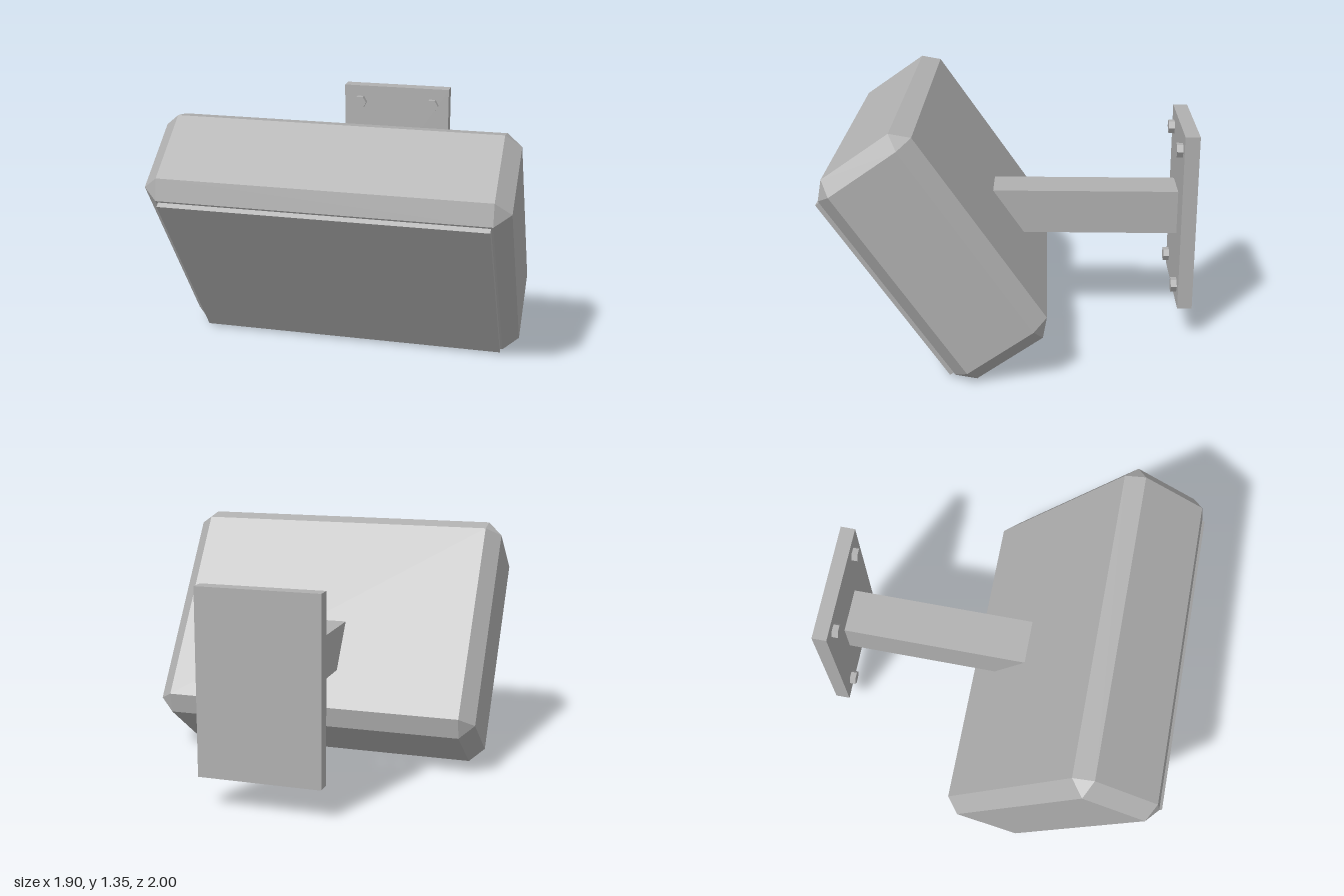
import * as THREE from 'three';
import { ConvexGeometry } from 'three/addons/geometries/ConvexGeometry.js';

const metal = new THREE.MeshStandardMaterial({ color: 0xb0b0b0 });
metal.name = 'grey metal';

function addMesh(parent, name, geometry, x, y, z) {
  const mesh = new THREE.Mesh(geometry, metal);
  mesh.name = name;
  mesh.position.set(x, y, z);
  parent.add(mesh);
  return mesh;
}

// Box with every edge chamfered: each corner becomes a small triangle
function chamferedBox(hx, hy, hz, c) {
  const points = [];
  for (const sx of [-1, 1]) for (const sy of [-1, 1]) for (const sz of [-1, 1]) {
    points.push(
      new THREE.Vector3(sx * hx, sy * (hy - c), sz * (hz - c)),
      new THREE.Vector3(sx * (hx - c), sy * hy, sz * (hz - c)),
      new THREE.Vector3(sx * (hx - c), sy * (hy - c), sz * hz)
    );
  }
  return new ConvexGeometry(points);
}

export function createModel() {
  const model = new THREE.Group();
  model.name = 'wallFloodlight';

  // Lamp head, tilted to face downwards
  const head = new THREE.Group();
  head.name = 'lampHead';
  head.position.set(0, 0.68, 0.402);
  head.rotation.x = THREE.MathUtils.degToRad(35);
  model.add(head);
  addMesh(head, 'housing', chamferedBox(0.95, 0.676, 0.295, 0.083), 0, 0, 0);
  addMesh(head, 'frontPanel', new THREE.BoxGeometry(1.712, 1.164, 0.03), 0, 0, 0.308);

  // Arm running from the wall plate into the housing
  addMesh(model, 'arm', new THREE.BoxGeometry(0.252, 0.25, 1.1), 0, 0.68, -0.37);

  // Wall plate and its hexagonal bolts
  addMesh(model, 'wallPlate', new THREE.BoxGeometry(0.674, 1.01, 0.082), 0, 0.685, -0.959);
  const boltGeometry = new THREE.CylinderGeometry(0.041, 0.041, 0.04, 6)
    .toNonIndexed().rotateY(Math.PI / 6).rotateX(Math.PI / 2);
  for (const x of [-0.233, 0.233]) for (const y of [0.283, 1.086]) {
    addMesh(model, 'bolt', boltGeometry, x, y, -0.904);
  }
  boltGeometry.computeVertexNormals();

  return model;
}
